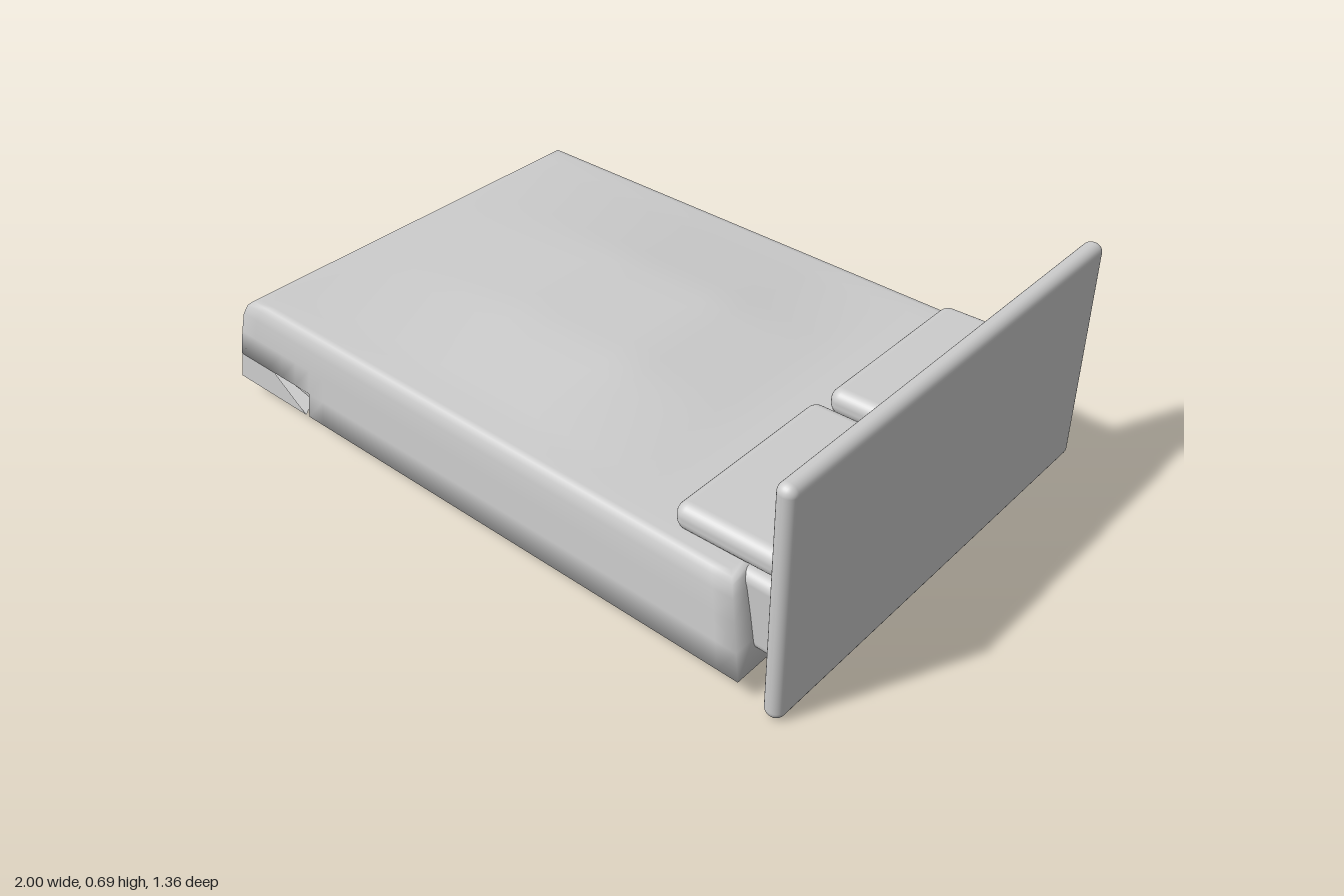
import * as THREE from 'three';
import { mergeVertices } from 'three/addons/utils/BufferGeometryUtils.js';
import { RoundedBoxGeometry } from 'three/addons/geometries/RoundedBoxGeometry.js';

const grey = new THREE.MeshStandardMaterial({ color: 0xcccccc });
const greyThin = new THREE.MeshStandardMaterial({ color: 0xcccccc, side: THREE.DoubleSide });

// Rounded block given by its [min, max] along x, y and z
function block(name, x, y, z, radius, segments = 4) {
  const geometry = new RoundedBoxGeometry(x[1] - x[0], y[1] - y[0], z[1] - z[0], segments, radius);
  const mesh = new THREE.Mesh(geometry, grey);
  mesh.position.set((x[0] + x[1]) / 2, (y[0] + y[1]) / 2, (z[0] + z[1]) / 2);
  mesh.name = name;
  return mesh;
}

// Blanket levels from hem to top: height, foot inset, head inset, side inset
const levels = [
  [0.06, 0, 0, 0],
  [0.14, 0.008, 0.013, 0.006],
  [0.22, 0.02, 0.026, 0.012],
  [0.285, 0.034, 0.038, 0.018],
  [0.315, 0.047, 0.048, 0.027],
  [0.327, 0.06, 0.058, 0.038],
  [0.33, 0.08, 0.075, 0.055],
];

// Rises from 0 to 1 between a and b, stays flat, falls to 0 between c and d
function plateau(t, a, b, c, d) {
  return THREE.MathUtils.clamp(Math.min((t - a) / (b - a), (d - t) / (d - c)), 0, 1);
}

function blanketGeometry() {
  let geometry = new THREE.BoxGeometry(1, 1, 1, 30, levels.length - 1, 22);
  geometry.deleteAttribute('normal');
  geometry.deleteAttribute('uv');
  geometry = mergeVertices(geometry);
  const p = geometry.attributes.position;
  for (let i = 0; i < p.count; i++) {
    const level = Math.round((p.getY(i) + 0.5) * (levels.length - 1));
    const [height, foot, head, side] = levels[level];
    let x = THREE.MathUtils.lerp(-1 + foot, 0.88 - head, p.getX(i) + 0.5);
    let z = THREE.MathUtils.lerp(-0.66 + side, 0.68 - side, p.getZ(i) + 0.5);
    let y = height;
    // Gentle swell in the middle of the top
    if (level === levels.length - 1) {
      y += 0.04 * plateau(x, -0.92, -0.25, 0.12, 0.46) * plateau(z, -0.58, -0.2, 0.2, 0.58);
    }
    // Hem tucked in under one foot corner
    const u = (-0.7 - x) / 0.3, v = (z - 0.27) / 0.41;
    if (level === 0 && u > 0 && v > 0 && u + v > 1) {
      x = -0.7 - (0.3 * u) / (u + v);
      z = 0.27 + (0.41 * v) / (u + v);
    }
    p.setXYZ(i, x, y, z);
  }
  geometry.computeVertexNormals();
  return geometry;
}

// Loose corner of the hem: an upright side and a small flared floor
function flapGeometry() {
  const corners = [
    [-0.7, 0.06, 0.68], [-0.978, 0.22, 0.667], [-1, 0.06, 0.68],
    [-0.7, 0.06, 0.68], [-1, 0.06, 0.68], [-1, 0.06, 0.27],
  ];
  const geometry = new THREE.BufferGeometry();
  geometry.setAttribute('position', new THREE.Float32BufferAttribute(corners.flat(), 3));
  geometry.setIndex([0, 2, 1, 3, 5, 4]);
  geometry.computeVertexNormals();
  return geometry;
}

export function createModel() {
  const bed = new THREE.Group();
  bed.name = 'bed';

  bed.add(block('headboard', [0.945, 1], [0, 0.69], [-0.68, 0.68], 0.026));
  bed.add(block('mattress', [-0.9, 0.945], [0.1, 0.325], [-0.6, 0.61], 0.03));

  const blanket = new THREE.Mesh(blanketGeometry(), grey);
  blanket.name = 'blanket';
  const flap = new THREE.Mesh(flapGeometry(), greyThin);
  flap.name = 'blanketCorner';
  bed.add(blanket, flap);

  // Pillows lean up slightly towards the headboard
  const pillows = [['leftPillow', 0.6, 0.03, 0.595], ['rightPillow', 0.607, -0.58, -0.015]];
  for (const [name, x, z0, z1] of pillows) {
    const pillow = block(name, [x, x + 0.335], [0.32, 0.398], [z0, z1], 0.034);
    pillow.rotation.z = 0.03;
    bed.add(pillow);
  }
  return bed;
}
